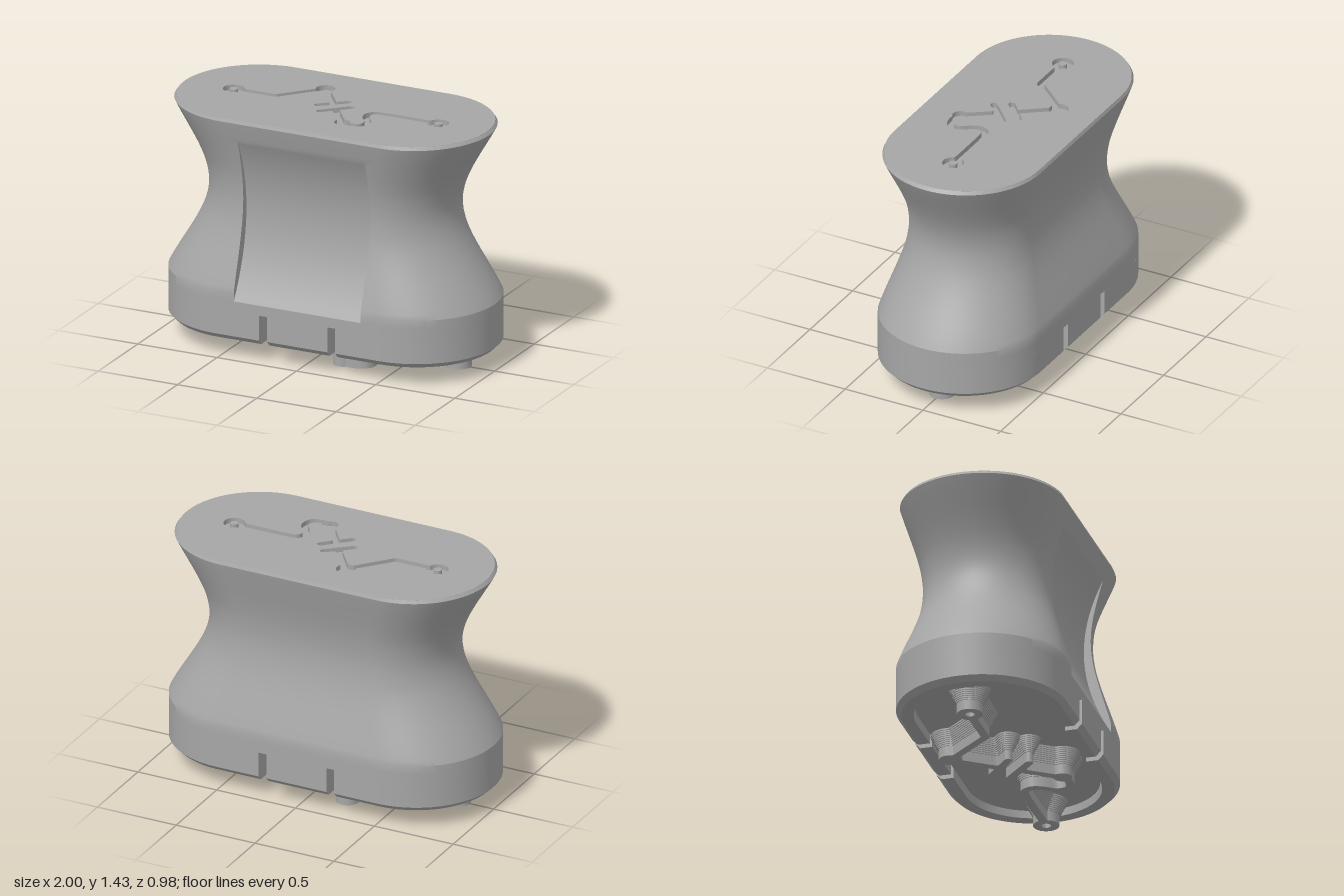
import * as THREE from 'three';
import { toCreasedNormals } from 'three/addons/utils/BufferGeometryUtils.js';

const C = 0.51, R = 0.49;            // stadium: half straight length, end radius
const WALL = 0.1, SLOT_IN = 0.19, SLOT_OUT = 0.24, PANEL = 0.4;

function stadium(c, r) {
  const s = new THREE.Shape();
  s.moveTo(-c, -r).lineTo(c, -r).absarc(c, 0, r, -Math.PI / 2, Math.PI / 2);
  s.lineTo(-c, r).absarc(-c, 0, r, Math.PI / 2, Math.PI * 1.5);
  return s;
}

// Plan shape (x, z) raised from y0 to y1
function slab(shape, y0, y1, steps = 1) {
  const g = new THREE.ExtrudeGeometry(shape, { depth: y1 - y0, steps, bevelEnabled: false, curveSegments: 32 });
  return g.rotateX(Math.PI / 2).translate(0, y1, 0);
}

const hermite = (t, p0, m0, p1, m1) =>
  p0 * (2 * t ** 3 - 3 * t * t + 1) + m0 * (t ** 3 - 2 * t * t + t) +
  p1 * (3 * t * t - 2 * t ** 3) + m1 * (t ** 3 - t * t);

// Size of the waisted section at each height
function scaleAt(y) {
  if (y <= 0.4) return 1;
  if (y > 1.42) return 0.95;
  if (y < 0.93) return hermite((y - 0.4) / 0.53, 1, -0.27, 0.755, 0);
  return hermite((y - 0.93) / 0.48, 0.755, 0, 0.965, 0.26);
}

// Depth of the concave front panel
function panelZ(y) {
  const body = R * scaleAt(y), t = (y - 0.35) / 0.95;
  if (t <= 0.001 || t >= 0.999) return body;
  const line = THREE.MathUtils.lerp(R, R * scaleAt(1.3), t);
  return Math.min(body, line - 0.135 * (1 - (2 * t - 1) ** 2));
}

// Waisted body lofted from stadium rings, with the panel let into its front
function bodyGeometry() {
  const ys = [0.29, 0.35];
  for (let i = 0; i <= 40; i++) ys.push(0.4 + i * 0.025);
  ys.push(1.41, 1.43);
  const pos = [], idx = [];
  let n = 0;
  for (const y of ys) {
    const s = scaleAt(y), z = R * s, c = Math.max(C * s, PANEL), rx = (C + R) * s - c;
    const ring = [[-PANEL, panelZ(y)], [PANEL, panelZ(y)], [PANEL, z]];
    for (const side of [1, -1])
      for (let i = 0; i <= 32; i++) {
        const a = Math.PI * i / 32;
        ring.push([side * (c + rx * Math.sin(a)), side * z * Math.cos(a)]);
      }
    ring.push([-PANEL, z]);
    n = ring.length;
    for (const [x, pz] of ring) pos.push(x, y, pz);
  }
  for (let j = 0; j < ys.length - 1; j++)
    for (let i = 0; i < n; i++) {
      const a = j * n + i, b = j * n + (i + 1) % n;
      idx.push(a, b, b + n, a, b + n, a + n);
    }
  const g = new THREE.BufferGeometry();
  g.setAttribute('position', new THREE.Float32BufferAttribute(pos, 3));
  g.setIndex(idx);
  return toCreasedNormals(g, 0.4);
}

// Skirt piece with a chamfered lower outer edge
function skirtGeometry(shape) {
  const g = slab(shape, 0.11, 0.29, 6), p = g.attributes.position;
  for (let i = 0; i < p.count; i++) {
    const x = p.getX(i), z = p.getZ(i);
    const dx = x - THREE.MathUtils.clamp(x, -C, C);
    if (p.getY(i) < 0.115 && Math.hypot(dx, z) > R - 0.05) {
      p.setX(i, x - 0.03 * dx / R);
      p.setZ(i, z - 0.03 * z / R);
    }
  }
  return toCreasedNormals(g, 0.4);
}

// Circuit strokes in plan: [x1, z1, x2, z2, radius]
const W = 0.02;
const strokes = pts => pts.slice(1).map((p, i) => [...pts[i], ...p, W]);
const disc = (x, z, r) => [x, z, x, z, r];
const curve = new THREE.CatmullRomCurve3(
  [[0.15, 0.23], [0.21, 0.24], [0.27, 0.22], [0.28, 0.16], [0.24, 0.1], [0.225, 0.05], [0.25, 0.01], [0.32, 0]]
    .map(([x, z]) => new THREE.Vector3(x, 0, z))).getPoints(28).map(p => [p.x, p.z]);
const halves = [
  { pin: -0.645, dir: -1, segs: [disc(-0.645, 0, 0.062), disc(-0.18, -0.23, 0.055),
    ...strokes([[-0.645, 0], [-0.38, 0], [-0.18, -0.23], [-0.03, -0.03]]),
    ...strokes([[-0.1, 0.03], [0.035, -0.085]])] },
  { pin: 0.645, dir: 1, segs: [disc(0.645, 0, 0.062), disc(0.15, 0.225, 0.045),
    ...strokes([[0.022, 0.05], [0.15, 0.225]]), ...strokes([[-0.045, 0.115], [0.09, -0.015]]),
    ...strokes([...curve, [0.645, 0]])] },
];

// Walk round the joined strokes, keeping them on the left, to get one outline
function outline({ pin, dir, segs }, scale, grow) {
  const inside = (x, z) => segs.some(([ax, az, bx, bz, r]) => {
    const ux = (bx - ax) * scale, uz = (bz - az) * scale, px = x - ax * scale, pz = z - az * scale;
    const t = THREE.MathUtils.clamp((px * ux + pz * uz) / (ux * ux + uz * uz || 1), 0, 1);
    return Math.hypot(px - t * ux, pz - t * uz) < r * scale + grow;
  });
  const step = 0.012, start = new THREE.Vector2(pin * scale + dir * (0.062 * scale + grow), 0);
  const pts = [start];
  let p = start, heading = dir * Math.PI / 2;
  for (let n = 0; n < 1200; n++) {
    const hit = a => inside(p.x + step * Math.cos(a), p.y + step * Math.sin(a));
    let lo = heading - 2.4, hi = lo + 0.12;
    while (hi < heading + 2.6 && !(hit(hi) && !hit(lo))) { lo = hi; hi += 0.12; }
    for (let k = 0; k < 14; k++) {
      const mid = (lo + hi) / 2;
      if (hit(mid)) hi = mid; else lo = mid;
    }
    heading = hi;
    p = new THREE.Vector2(p.x + step * Math.cos(hi), p.y + step * Math.sin(hi));
    if (n > 10 && p.distanceTo(start) < step) break;
    pts.push(p);
  }
  return pts;
}

export function createModel() {
  const group = new THREE.Group();
  const grey = new THREE.MeshStandardMaterial({ color: 0xa6a6a6 });
  grey.name = 'grey plastic';
  const add = (name, geometry) => {
    const m = new THREE.Mesh(geometry, grey);
    m.name = name;
    group.add(m);
    return m;
  };

  add('gripBody', bodyGeometry());

  // Top lid with engraved circuit, groove floor and terminal pins
  const lid = stadium(C * 0.95, R * 0.95);
  for (const h of halves) lid.holes.push(new THREE.Path(outline(h, 1, 0)));
  add('topLid', toCreasedNormals(slab(lid, 1.4, 1.43), 0.5));
  add('grooveFloor', slab(stadium(C * 0.9, R * 0.9), 1.37, 1.4));
  for (const h of halves)
    add('terminalPin', new THREE.CylinderGeometry(0.024, 0.024, 0.03, 20).translate(h.pin, 1.415, 0));

  // Hollow skirt: two ends and two bars, parted by the slots
  const inner = R - WALL, q = Math.PI / 2;
  const end = new THREE.Shape();
  end.moveTo(SLOT_OUT, -R).lineTo(C, -R).absarc(C, 0, R, -q, q).lineTo(SLOT_OUT, R);
  end.lineTo(SLOT_OUT, inner).lineTo(C, inner).absarc(C, 0, inner, q, -q, true).lineTo(SLOT_OUT, -inner);
  const bar = new THREE.Shape();
  bar.moveTo(-SLOT_IN, inner).lineTo(SLOT_IN, inner).lineTo(SLOT_IN, R).lineTo(-SLOT_IN, R);
  for (const turn of [0, Math.PI]) {
    add('skirtEnd', skirtGeometry(end)).rotation.y = turn;
    add('skirtBar', skirtGeometry(bar)).rotation.y = turn;
  }
  add('cavityCeiling', slab(stadium(C, R - 0.01), 0.29, 0.32));

  // Stamp plate with raised circuit on stepped flares
  add('stampPlate', toCreasedNormals(slab(stadium(C, inner - 0.012), 0.15, 0.18), 0.5));
  for (const h of halves) {
    const face = new THREE.Shape(outline(h, 1.2, 0));
    face.holes.push(new THREE.Path().absarc(h.pin * 1.2, 0, 0.028, 0, Math.PI * 2, true));
    add('stampRelief', toCreasedNormals(slab(face, 0, 0.06), 0.5));
    for (let i = 0; i < 9; i++)
      add('stampFlare', toCreasedNormals(
        slab(new THREE.Shape(outline(h, 1.2, 0.005 * (i + 1))), 0.06 + i * 0.01, 0.07 + i * 0.01), 0.5));
  }
  return group;
}
